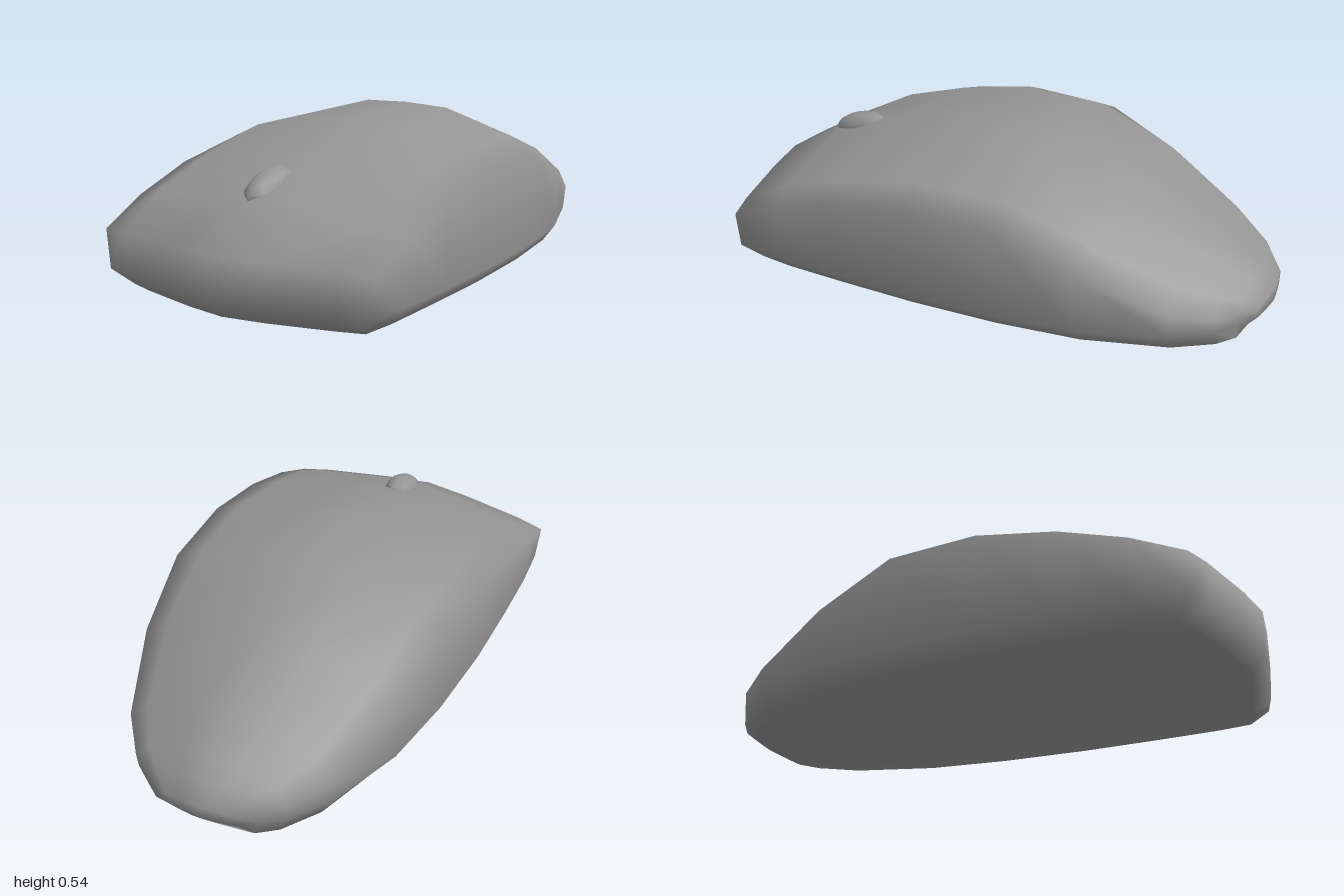
import * as THREE from 'three';
import { mergeVertices } from 'three/addons/utils/BufferGeometryUtils.js';

const ACROSS = [-1, -0.8, -0.32, 0, 0.32, 0.8, 1]; // share of the half width
const LOW_Y = 0.062, LOW_W = 0.975, BASE_W = 0.88;

// One closed cross-section: crown, side, base, side.
// z position, half width, crown height, shoulder height, bow along z,
// crown fullness (1 is flat-topped), base inset along z
function section([z, w, h, s, bow = 0, full = 0.76, inset = 0], kind) {
  const bowed = (f) => z + bow * Math.min(1 - 0.667 * Math.abs(f), 1.39 * (1 - Math.abs(f)));
  const rise = [0, 0.42, full, 1, full, 0.42, 0];
  const base = ACROSS.map((f) => [f * w * BASE_W, 0, bowed(f) + inset]);
  const low = (f) => [f * w * LOW_W, LOW_Y, bowed(f)];
  let top = ACROSS.map((f, i) => [f * w, s + (h - s) * rise[i], bowed(f)]);
  let right = low(1), left = low(-1);
  if (kind === 'lip') top = ACROSS.map(low);
  if (kind === 'base') {
    top = base;
    right = base[6];
    left = base[0];
  }
  return [...top, right, ...[...base].reverse(), left];
}

function bodyGeometry() {
  const front = [0.885, 0.54, 0.215, 0.2, 0.11, 0.76, -0.06];
  const tail = [-0.98, 0.14, 0.118, 0.095, -0.02, 0.76, 0.05];
  const middle = [
    [0.7, 0.555, 0.365, 0.28, 0.05],
    [0.46, 0.56, 0.447, 0.355, 0.03],
    [0.17, 0.56, 0.535, 0.405],
    [-0.16, 0.54, 0.54, 0.4, 0, 0.95],
    [-0.46, 0.495, 0.458, 0.28],
    [-0.75, 0.39, 0.31, 0.15],
    [-0.88, 0.29, 0.23, 0.115],
    [-0.93, 0.215, 0.185, 0.105, -0.02],
  ];
  // The ends close by folding the crown down to the lip and then to the base
  const rings = [
    section(front, 'base'), section(front, 'lip'), section(front),
    ...middle.map((m) => section(m)),
    section(tail), section(tail, 'lip'), section(tail, 'base'),
  ];
  const n = rings[0].length;
  const index = [];
  for (let i = 0; i < rings.length - 1; i++) {
    for (let j = 0; j < n; j++) {
      const k = (j + 1) % n;
      const a = i * n + j, b = i * n + k, c = a + n, d = b + n;
      index.push(a, b, d, a, d, c);
    }
  }
  const geometry = new THREE.BufferGeometry();
  geometry.setAttribute('position', new THREE.Float32BufferAttribute(rings.flat(2), 3));
  geometry.setIndex(index);
  const welded = mergeVertices(geometry, 1e-4);
  welded.computeVertexNormals();
  return welded;
}

export function createModel() {
  const group = new THREE.Group();
  group.name = 'computerMouse';
  const material = new THREE.MeshStandardMaterial({ color: 0x969696 });

  // Shell
  const body = new THREE.Mesh(bodyGeometry(), material);
  body.name = 'body';

  // Scroll wheel, half sunk into the sloping top
  const wheel = new THREE.Mesh(new THREE.SphereGeometry(1, 8, 8), material);
  wheel.name = 'scrollWheel';
  wheel.scale.set(0.06, 0.053, 0.116);
  wheel.position.set(-0.006, 0.373, 0.675);
  wheel.rotation.x = 0.33;

  group.add(body, wheel);
  return group;
}
